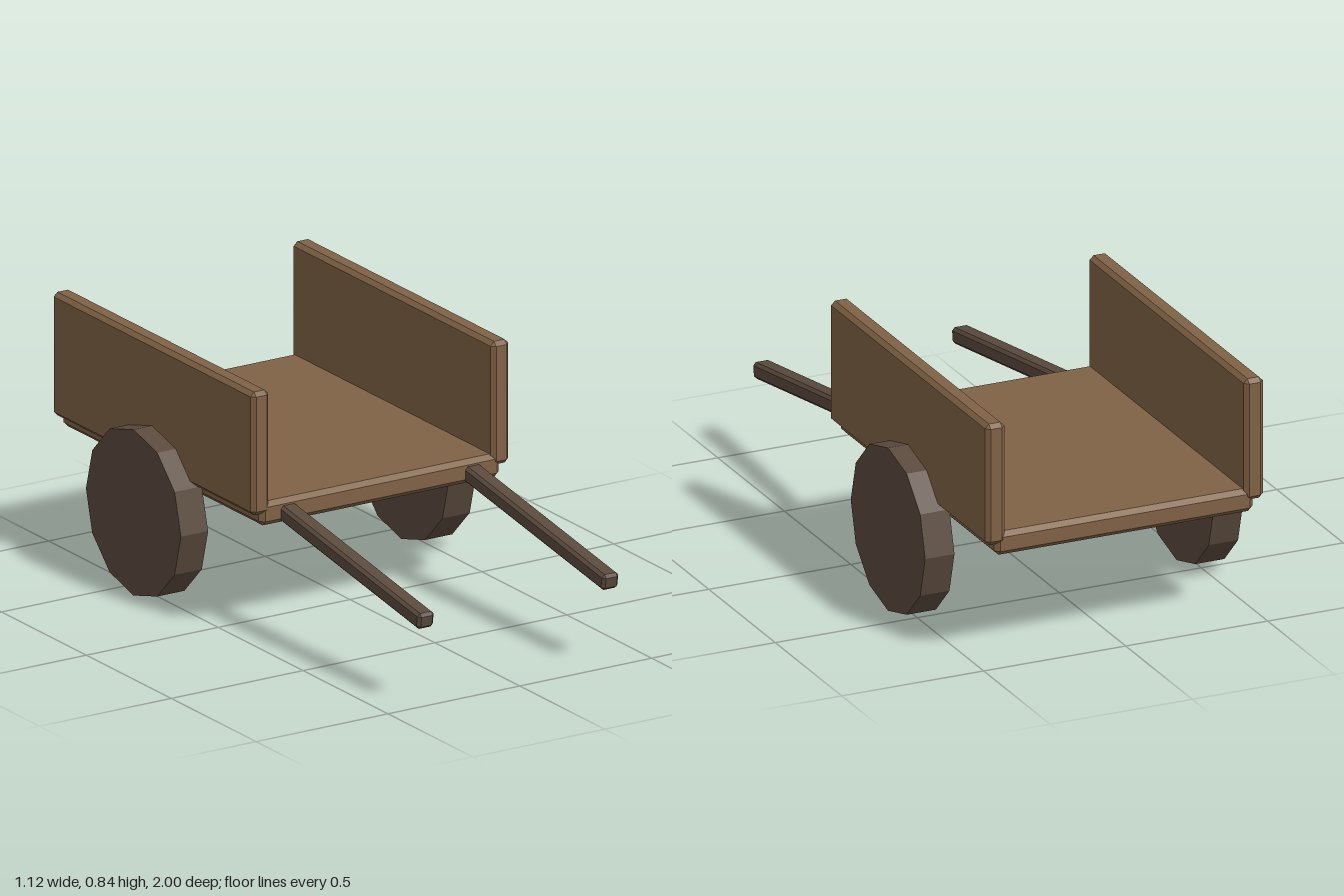
import * as THREE from 'three';
import { ConvexGeometry } from 'three/addons/geometries/ConvexGeometry.js';

const plankWood = new THREE.MeshStandardMaterial({ color: 0x806245, flatShading: true });
const darkWood = new THREE.MeshStandardMaterial({ color: 0x5a4a3d, flatShading: true });

// Box with every edge and corner chamfered by b
function chamferBox(w, h, d, b) {
  const half = [w / 2, h / 2, d / 2];
  const points = [];
  for (const sx of [-1, 1]) for (const sy of [-1, 1]) for (const sz of [-1, 1]) {
    for (let axis = 0; axis < 3; axis++) {
      const p = half.map((v, i) => (i === axis ? v : v - b));
      points.push(new THREE.Vector3(p[0] * sx, p[1] * sy, p[2] * sz));
    }
  }
  return new ConvexGeometry(points);
}

export function createModel() {
  const cart = new THREE.Group();
  cart.name = 'handCart';

  function add(name, geometry, material, x, y, z) {
    const mesh = new THREE.Mesh(geometry, material);
    mesh.name = name;
    mesh.position.set(x, y, z);
    cart.add(mesh);
    return mesh;
  }

  // Floor of the cart
  add('bed', chamferBox(0.91, 0.08, 1.18, 0.016), plankWood, 0, 0.422, -0.406);

  const sideBoard = chamferBox(0.068, 0.416, 1.186, 0.014);
  const shaft = chamferBox(0.062, 0.055, 0.906, 0.01);
  // Twelve-sided disc with a corner touching the ground
  const wheel = new THREE.CylinderGeometry(0.28, 0.28, 0.103, 12).rotateZ(Math.PI / 2);

  for (const [side, s] of [['left', 1], ['right', -1]]) {
    add(side + 'SideBoard', sideBoard, plankWood, s * 0.455, 0.632, -0.407);
    add(side + 'Wheel', wheel, darkWood, s * 0.508, 0.28, -0.407);
    // Pull shaft sloping down towards the front
    add(side + 'Shaft', shaft, darkWood, s * 0.35, 0.354, 0.548).rotation.x = 0.159;
  }
  return cart;
}
